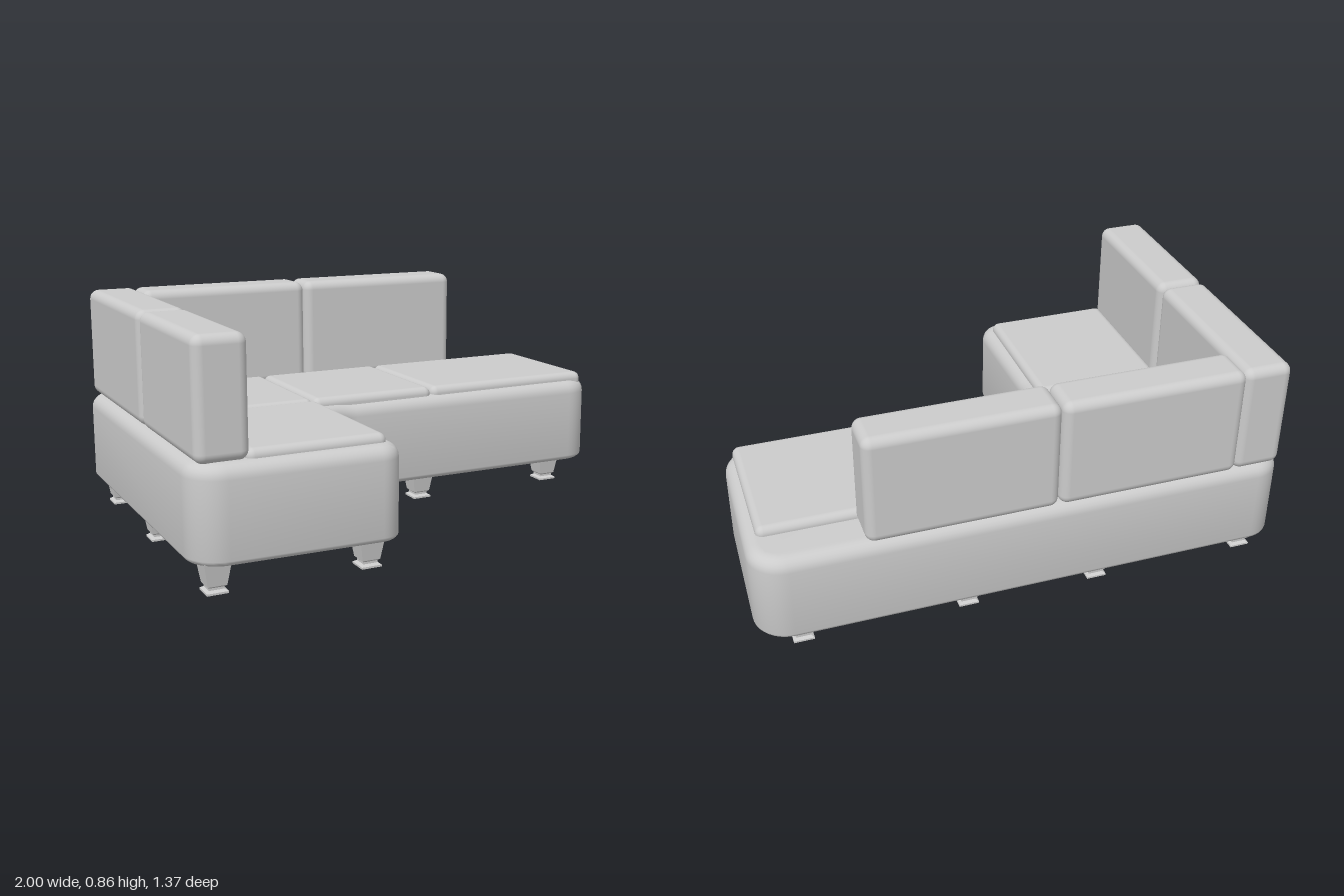
import * as THREE from 'three';
import { RoundedBoxGeometry } from 'three/addons/geometries/RoundedBoxGeometry.js';
import { toCreasedNormals } from 'three/addons/utils/BufferGeometryUtils.js';

const material = new THREE.MeshStandardMaterial({ color: 0xcccccc });
const legMaterial = new THREE.MeshStandardMaterial({ color: 0xcccccc, flatShading: true });

// Closed outline through corners [x, z, radius], each corner rounded.
function roundedOutline(corners) {
  const shape = new THREE.Shape();
  const n = corners.length;
  const points = corners.map(([x, z]) => new THREE.Vector2(x, -z));
  const toward = (a, b, d) => a.clone().add(b.clone().sub(a).setLength(d));
  points.forEach((p, i) => {
    const r = corners[i][2];
    const start = toward(p, points[(i + n - 1) % n], r);
    const end = toward(p, points[(i + 1) % n], r);
    // Handles at 0.55 of the radius give a near-circular corner
    const c1 = start.clone().lerp(p, 0.55);
    const c2 = end.clone().lerp(p, 0.55);
    if (i === 0) shape.moveTo(start.x, start.y);
    else shape.lineTo(start.x, start.y);
    shape.bezierCurveTo(c1.x, c1.y, c2.x, c2.y, end.x, end.y);
  });
  shape.closePath();
  return shape;
}

// L-shaped upholstered base, soft on top and tighter underneath
function createBase() {
  const outline = roundedOutline([
    [-1, 0.665, 0.12], [-0.245, 0.685, 0.09], [-0.255, 0.04, 0.13],
    [0.985, 0.055, 0.12], [1, -0.69, 0.13], [-1, -0.69, 0.11],
  ]);
  const bevel = 0.05, bottom = 0.1, top = 0.445, lowerBevel = 0.025;
  const geometry = new THREE.ExtrudeGeometry(outline, {
    depth: top - bottom - bevel - lowerBevel,
    bevelThickness: bevel, bevelSize: bevel, bevelOffset: -bevel,
    bevelSegments: 6, curveSegments: 10,
  });
  geometry.rotateX(-Math.PI / 2);
  const pos = geometry.attributes.position;
  for (let i = 0; i < pos.count; i++) {
    const y = pos.getY(i);
    pos.setY(i, bottom + lowerBevel + (y < 0 ? y * lowerBevel / bevel : y));
  }
  const mesh = new THREE.Mesh(toCreasedNormals(geometry, 0.7), material);
  mesh.name = 'base';
  return mesh;
}

// Soft block filling the given extents
function createCushion(name, [x0, x1], [y0, y1], [z0, z1], radius) {
  const geometry = new RoundedBoxGeometry(x1 - x0, y1 - y0, z1 - z0, 5, radius);
  const mesh = new THREE.Mesh(geometry, material);
  mesh.position.set((x0 + x1) / 2, (y0 + y1) / 2, (z0 + z1) / 2);
  mesh.name = name;
  return mesh;
}

// Square tapered leg with a narrow neck and a thin foot plate
function createLegGeometry() {
  const profile = [
    [0, 0], [0.038, 0], [0.038, 0.007], [0.027, 0.014], [0.027, 0.022],
    [0.034, 0.028], [0.047, 0.11], [0, 0.11],
  ].map(([half, y]) => new THREE.Vector2(half * Math.SQRT2, y));
  return new THREE.LatheGeometry(profile, 4).rotateY(Math.PI / 4);
}

export function createModel() {
  const sofa = new THREE.Group();
  sofa.name = 'cornerSofa';
  sofa.add(createBase());

  // Seat cushions
  const seatY = [0.405, 0.476];
  [
    ['cornerSeat', [-0.8, -0.295], [-0.53, 0.015]],
    ['middleSeat', [-0.295, 0.22], [-0.53, 0.015]],
    ['endSeat', [0.22, 0.95], [-0.53, 0.015]],
    ['chaiseSeat', [-0.8, -0.29], [0.02, 0.625]],
  ].forEach(([name, x, z]) => sofa.add(createCushion(name, x, seatY, z, 0.028)));

  // Upright cushions along the back and the side
  const backY = [0.44, 0.86];
  [
    ['backCushionInner', [-0.795, -0.102], [-0.685, -0.51]],
    ['backCushionOuter', [-0.1, 0.6], [-0.685, -0.51]],
    ['sideCushionRear', [-0.975, -0.787], [-0.68, 0.022]],
    ['sideCushionFront', [-0.975, -0.787], [0.026, 0.63]],
  ].forEach(([name, x, z]) => sofa.add(createCushion(name, x, backY, z, 0.035)));

  // Legs in three rows
  const legGeometry = createLegGeometry();
  const legRows = [
    [-0.56, [-0.91, -0.3, 0.21, 0.83]],
    [-0.08, [-0.3, 0.21, 0.83]],
    [-0.035, [-0.91]],
    [0.58, [-0.91, -0.35]],
  ];
  const legs = new THREE.Group();
  legs.name = 'legs';
  for (const [z, xs] of legRows) {
    for (const x of xs) {
      const leg = new THREE.Mesh(legGeometry, legMaterial);
      leg.position.set(x, 0, z);
      leg.name = 'leg';
      legs.add(leg);
    }
  }
  sofa.add(legs);
  return sofa;
}
